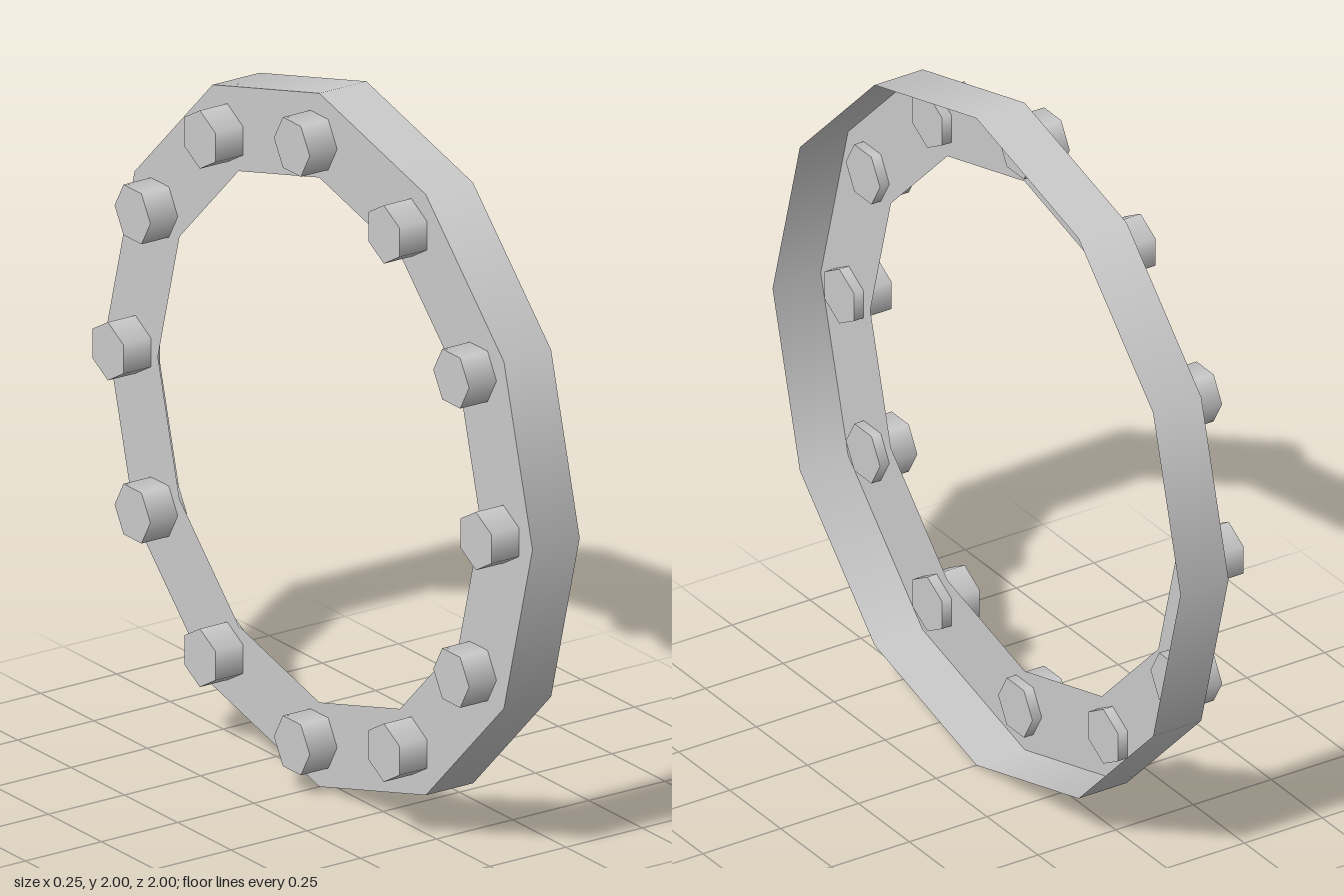
import * as THREE from 'three';

const SIDES = 12;
const OUTER = 1, INNER = 0.757;
const PLATE_X = -0.035, RIM_X = 0.12;
const BOLT_CIRCLE = 0.863, BOLT_RADIUS = 0.084;
const BOLT_BACK = -0.125, BOLT_FRONT = -0.005;

export function createModel() {
  const model = new THREE.Group();
  model.name = 'boltedRing';
  const sheet = new THREE.MeshStandardMaterial({ color: 0xcccccc, side: THREE.DoubleSide });
  const solid = new THREE.MeshStandardMaterial({ color: 0xcccccc });

  const add = (name, geometry, material, x, parent = model) => {
    const mesh = new THREE.Mesh(geometry, material);
    mesh.name = name;
    mesh.position.x = x;
    parent.add(mesh);
    return mesh;
  };

  // Thin outer rim, open on both ends, with its axis along x
  const rim = new THREE.CylinderGeometry(OUTER, OUTER, RIM_X - PLATE_X, SIDES, 1, true);
  rim.rotateZ(Math.PI / 2);
  add('rim', rim, sheet, (PLATE_X + RIM_X) / 2).position.y = 1;

  // Flat flange closing one edge of the rim
  const flange = new THREE.RingGeometry(INNER, OUTER, SIDES);
  flange.rotateY(-Math.PI / 2);
  add('flange', flange, sheet, PLATE_X).position.y = 1;

  // Hexagonal bolts passing through the flange, one per corner
  const bolts = new THREE.Group();
  bolts.name = 'bolts';
  bolts.position.y = 1.002;
  model.add(bolts);
  const hex = new THREE.CylinderGeometry(BOLT_RADIUS, BOLT_RADIUS, BOLT_FRONT - BOLT_BACK, 6);
  hex.rotateZ(Math.PI / 2);
  for (let i = 0; i < SIDES; i++) {
    const angle = (i / SIDES) * Math.PI * 2;
    const bolt = add('bolt', hex, solid, (BOLT_BACK + BOLT_FRONT) / 2, bolts);
    bolt.position.y = Math.cos(angle) * BOLT_CIRCLE;
    bolt.position.z = Math.sin(angle) * BOLT_CIRCLE;
    bolt.rotation.x = angle;
  }

  return model;
}
